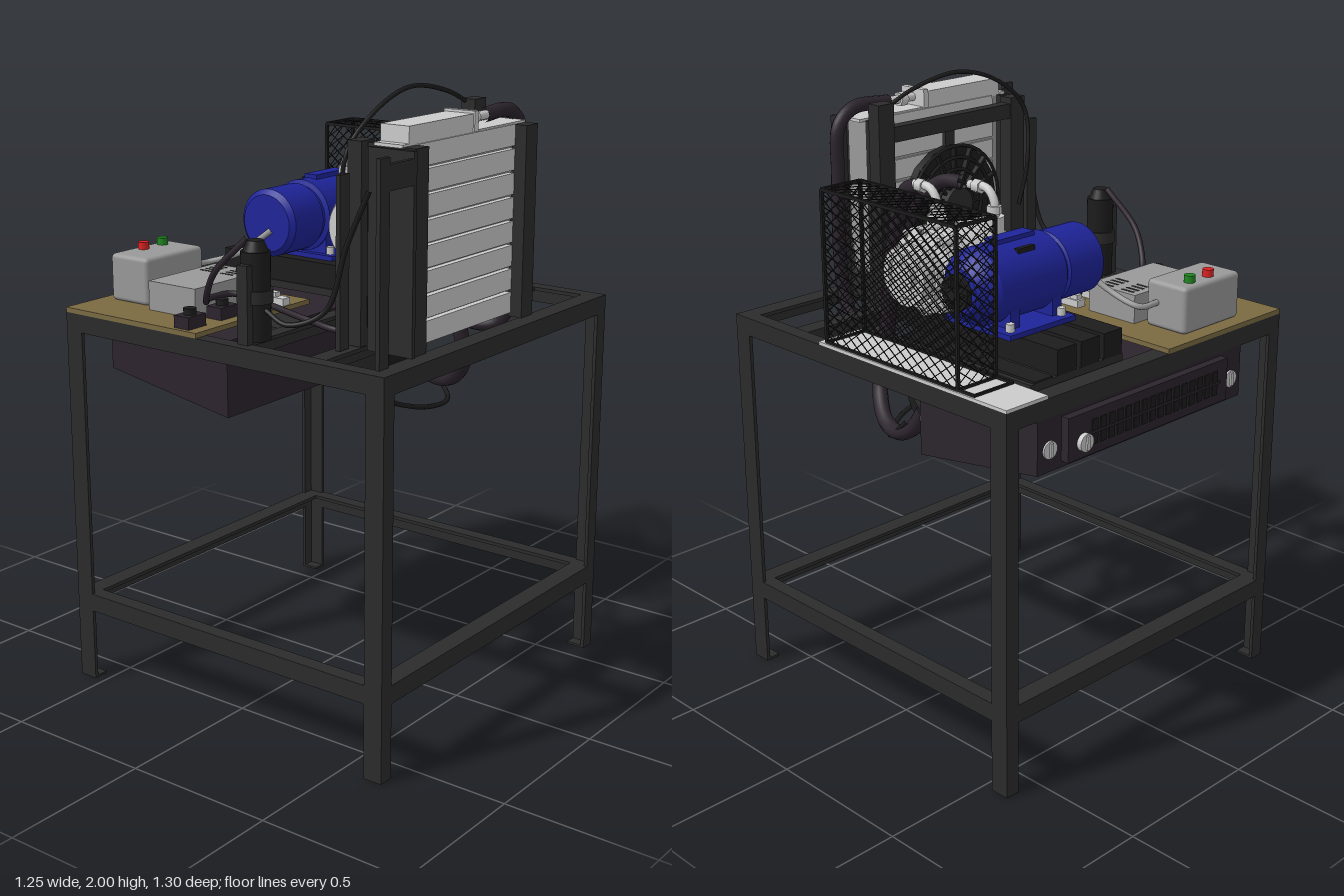
import * as THREE from 'three';
import { mergeGeometries } from 'three/addons/utils/BufferGeometryUtils.js';
import { RoundedBoxGeometry } from 'three/addons/geometries/RoundedBoxGeometry.js';

const paint = (color) => new THREE.MeshStandardMaterial({ color });
const iron = paint(0x2b2b2b), black = paint(0x1c1c1c), plum = paint(0x2c242d), blue = paint(0x1e2499);
const grey = paint(0xcccccc), boxGrey = paint(0x999999), wood = paint(0x7a6a42);
const red = paint(0xdd2222), green = paint(0x228822);

export function createModel() {
  const root = new THREE.Group();
  let target = root;
  const group = (name) => { target = new THREE.Group(); target.name = name; root.add(target); };
  const add = (name, mat, geo) => {
    const m = new THREE.Mesh(geo, mat);
    m.name = name;
    target.add(m);
    return m;
  };
  const boxGeo = (x0, x1, y0, y1, z0, z1) =>
    new THREE.BoxGeometry(x1 - x0, y1 - y0, z1 - z0).translate((x0 + x1) / 2, (y0 + y1) / 2, (z0 + z1) / 2);
  const box = (name, mat, ...b) => add(name, mat, boxGeo(...b));
  // cylinder along an axis, centred at x, y, z
  const cyl = (name, mat, axis, r, len, x, y, z, r2 = r, sides = 28) => {
    const g = new THREE.CylinderGeometry(r2, r, len, sides);
    if (axis === 'x') g.rotateZ(-Math.PI / 2);
    if (axis === 'z') g.rotateX(Math.PI / 2);
    return add(name, mat, g.translate(x, y, z));
  };
  const tube = (name, mat, r, pts) => {
    const c = new THREE.CatmullRomCurve3(pts.map((p) => new THREE.Vector3(...p)), false, 'centripetal');
    return add(name, mat, new THREE.TubeGeometry(c, pts.length * 9, r, 10));
  };
  // profile of [radius, x] turned round an axis parallel to x
  const latheX = (name, mat, pts, y, z) => {
    const parts = pts.slice(1).map((p, i) => new THREE.LatheGeometry(
      [new THREE.Vector2(...pts[i]), new THREE.Vector2(...p)], 36));
    return add(name, mat, mergeGeometries(parts).rotateZ(-Math.PI / 2).translate(0, y, z));
  };

  // angle iron table frame
  group('tableFrame');
  const X0 = -0.63, X1 = 0.625, Z0 = -0.6, Z1 = 0.65, t = 0.012;
  for (const [x, sx] of [[X0, 1], [X1, -1]]) for (const [z, sz] of [[Z0, 1], [Z1, -1]]) {
    const span = (a, b) => [Math.min(a, b), Math.max(a, b)];
    box('leg', iron, ...span(x, x + sx * t), 0, 1.25, ...span(z, z + sz * 0.065));
    box('leg', iron, ...span(x, x + sx * 0.05), 0, 1.25, ...span(z, z + sz * t));
    box('footPad', iron, ...span(x, x + sx * 0.05), 0, 0.008, ...span(z, z + sz * 0.065));
  }
  for (const [y0, y1] of [[0.245, 0.305], [1.2, 1.26]]) {
    for (const [a, b, c, d] of [[X0, X0 + t, X0, X0 + 0.05], [X1 - t, X1, X1 - 0.05, X1]]) {
      box('sideRail', iron, a, b, y0, y1, Z0, Z1);
      box('sideRailFlange', iron, c, d, y1 - t, y1, Z0, Z1);
    }
    for (const [a, b, c, d] of [[Z0, Z0 + t, Z0, Z0 + 0.065], [Z1 - t, Z1, Z1 - 0.065, Z1]]) {
      box('endRail', iron, X0, X1, y0, y1, a, b);
      box('endRailFlange', iron, X0, X1, y1 - t, y1, c, d);
    }
  }
  for (const [a, b] of [[0.345, 0.405], [0.06, 0.11]]) {
    box('crossRail', iron, X0, X1, 1.2, 1.258, a, a + t);
    box('crossRailFlange', iron, X0, X1, 1.246, 1.258, a, b);
  }
  box('boardSupport', iron, -0.35, -0.185, 1.235, 1.25, -0.5, 0.07);
  box('woodBoard', wood, X0, -0.075, 1.26, 1.276, Z0, -0.05);
  box('guardPlate', grey, 0.455, X1, 1.26, 1.27, Z0, 0.225);

  // evaporator slung under the back
  group('evaporator');
  const side = new THREE.Shape([[0.6, 1.2], [0.6, 1.03], [0.1, 0.95], [0.1, 1.2]].map((p) => new THREE.Vector2(...p)));
  add('evaporatorCase', plum, new THREE.ExtrudeGeometry(side, { depth: 0.93, bevelEnabled: false })
    .rotateY(Math.PI / 2).translate(-0.43, 0, 0));
  box('evaporatorFace', plum, -0.33, 0.4, 1.05, 1.19, -0.628, -0.6);
  for (let i = 0; i < 16; i++) box('louvre', black, -0.28 + i * 0.037, -0.255 + i * 0.037, 1.08, 1.16, -0.631, -0.627);
  box('louvreBar', plum, -0.29, 0.31, 1.116, 1.124, -0.634, -0.627);
  for (const [x, z] of [[-0.38, -0.612], [0.335, -0.65], [0.45, -0.612]]) {
    cyl('knob', grey, 'z', 0.028, 0.02, x, 1.1, z + 0.016);
    box('knobGrip', grey, x - 0.006, x + 0.006, 1.078, 1.122, z, z + 0.016);
  }
  cyl('blower', black, 'x', 0.11, 0.22, 0.26, 1.085, 0);
  cyl('blowerCap', iron, 'x', 0.05, 0.03, 0.38, 1.085, 0);
  cyl('outletFitting', grey, 'x', 0.018, 0.07, 0.4, 1.12, -0.03);
  cyl('outletFitting', grey, 'y', 0.014, 0.12, 0.42, 1.08, -0.03);

  // stand and electric motor
  group('motor');
  box('standPlate', iron, 0.06, 0.455, 1.255, 1.28, -0.53, 0.06);
  for (let i = 0; i < 3; i++) box('standBeam', black, 0.065 + i * 0.1, 0.145 + i * 0.1, 1.28, 1.362, -0.53, 0.13);
  box('standRib', black, 0.365, 0.44, 1.28, 1.287, -0.53, 0.05);
  latheX('motorBody', blue, [[0, -0.06], [0.095, -0.06], [0.112, -0.045], [0.112, 0.1], [0.103, 0.105],
    [0.103, 0.12], [0.12, 0.125], [0.12, 0.4], [0.105, 0.425], [0.07, 0.46], [0, 0.46]], 1.5, -0.24);
  box('motorFoot', blue, 0.11, 0.39, 1.362, 1.378, -0.38, -0.1);
  for (const x of [0.15, 0.33]) box('motorLeg', blue, x - 0.02, x + 0.02, 1.37, 1.45, -0.34, -0.14);
  box('terminalCover', blue, 0.17, 0.33, 1.6, 1.632, -0.262, -0.212);
  box('motorSlot', black, 0.22, 0.29, 1.59, 1.609, -0.314, -0.298);
  for (const x of [0.14, 0.36]) for (const z of [-0.35, -0.13])
    cyl('footBolt', grey, 'y', 0.014, 0.03, x, 1.388, z, 0.014, 6);
  cyl('motorShaft', black, 'x', 0.02, 0.06, 0.47, 1.5, -0.24);
  cyl('motorPulley', black, 'x', 0.055, 0.018, 0.473, 1.5, -0.24);
  for (let i = 0; i < 8; i++)
    add('pulleyBlade', black, boxGeo(0.475, 0.5, 0.015, 0.045, -0.004, 0.004).rotateX(i * Math.PI / 4).translate(0, 1.5, -0.24));

  // compressor
  group('compressor');
  const cy = 1.485, cz = 0.02;
  latheX('compressorBody', grey, [[0, 0.08], [0.11, 0.08], [0.118, 0.09], [0.118, 0.19], [0.124, 0.19], [0.124, 0.29],
    [0.134, 0.295], [0.134, 0.32], [0.125, 0.325], [0.125, 0.34], [0.134, 0.345], [0.134, 0.365], [0.1, 0.375],
    [0.1, 0.4], [0.09, 0.4], [0.09, 0.415], [0.093, 0.415], [0.093, 0.45], [0.07, 0.45], [0.07, 0.438], [0.045, 0.438],
    [0.045, 0.458], [0, 0.458]], cy, cz);
  for (let i = 0; i < 10; i++) {
    const a = (i / 10) * Math.PI * 2, y = cy + Math.cos(a) * 0.126, z = cz + Math.sin(a) * 0.126;
    cyl('flangeLug', grey, 'x', 0.018, 0.08, 0.33, y, z, 0.018, 12);
    cyl('flangeBolt', boxGrey, 'x', 0.009, 0.1, 0.33, y, z, 0.009, 6);
  }
  box('compressorMount', iron, 0.12, 0.33, 1.355, 1.385, 0.07, 0.14);
  for (const [x, z] of [[0.17, -0.09], [0.29, 0.04]]) {
    cyl('portBase', grey, 'y', 0.032, 0.07, x, 1.61, z);
    tube('portPipe', grey, 0.014, [[x, 1.6, z], [x, 1.69, z], [x, 1.725, z + 0.03], [x, 1.725, z + 0.11]]);
    cyl('portNut', grey, 'y', 0.024, 0.025, x, 1.665, z, 0.024, 6);
    cyl('portCollar', grey, 'z', 0.022, 0.03, x, 1.725, z + 0.07, 0.022, 6);
  }

  // wire mesh belt guard
  group('beltGuard');
  const G = { x: [0.463, 0.615], y: [1.272, 1.757], z: [-0.393, 0.195] }, wires = [];
  const rod = (a, b, w) => {
    const d = new THREE.Vector3().subVectors(b, a);
    const g = new THREE.BoxGeometry(w, w, d.length());
    g.applyQuaternion(new THREE.Quaternion().setFromUnitVectors(new THREE.Vector3(0, 0, 1), d.clone().normalize()));
    wires.push(g.translate((a.x + b.x) / 2, (a.y + b.y) / 2, (a.z + b.z) / 2));
  };
  const at = (u, a, v, b, w, c) => new THREE.Vector3()
    .setComponent('xyz'.indexOf(u), a).setComponent('xyz'.indexOf(v), b).setComponent('xyz'.indexOf(w), c);
  // slanted lines clipped to each face give the diamonds
  const lattice = (u, v, w, c, k) => {
    const [u0, u1] = G[u], [v0, v1] = G[v], W = u1 - u0, H = v1 - v0;
    for (let s = -H / k + 0.02; s < W; s += 0.05) {
      const a = Math.max(s, 0), b = Math.min(s + H / k, W);
      const p = (a - s) * k, q = (b - s) * k;
      if (b - a < 0.004) continue;
      rod(at(u, u0 + a, v, v0 + p, w, c), at(u, u0 + b, v, v0 + q, w, c), 0.0025);
      rod(at(u, u0 + a, v, v1 - p, w, c), at(u, u0 + b, v, v1 - q, w, c), 0.0025);
    }
  };
  for (const i of [0, 1]) {
    lattice('z', 'y', 'x', G.x[i], 0.75);
    lattice('x', 'y', 'z', G.z[i], 0.75);
  }
  lattice('x', 'z', 'y', G.y[1], 0.8);
  for (const [u, v, w] of ['xyz', 'yzx', 'zxy']) for (const b of G[v]) for (const c of G[w])
    rod(at(u, G[u][0], v, b, w, c), at(u, G[u][1], v, b, w, c), 0.01);
  add('guardMesh', black, mergeGeometries(wires));
  for (const x of G.x) box('guardRunner', black, x - 0.004, x + 0.004, 1.268, 1.278, -0.465, -0.39);
  box('guardRunnerEnd', black, G.x[0], G.x[1], 1.268, 1.278, -0.465, -0.457);

  // condenser with slatted front and rear fan
  group('condenser');
  for (const x of [-0.41, 0.18]) {
    box('condenserPost', iron, x, x + 0.065, 1.26, 1.865, 0.545, 0.595);
    box('condenserWeb', iron, x + 0.025, x + 0.04, 1.26, 1.865, 0.41, 0.56);
    box('rearPost', iron, x, x + 0.065, 1.26, x > 0 ? 1.93 : 1.87, 0.355, 0.405);
  }
  box('condenserCore', boxGrey, -0.385, 0.22, 1.27, 1.865, 0.45, 0.535);
  box('condenserTop', grey, -0.41, 0.245, 1.862, 1.872, 0.45, 0.55);
  for (let i = 0; i < 8; i++) box('condenserSlat', grey, -0.345, 0.18, 1.272 + i * 0.0755, 1.338 + i * 0.0755, 0.445, 0.555);
  box('fanBeam', iron, -0.41, 0.24, 1.8, 1.85, 0.36, 0.4);
  box('fanFoot', iron, -0.12, -0.04, 1.255, 1.36, 0.375, 0.39);
  box('fanHanger', iron, -0.1, -0.06, 1.73, 1.81, 0.375, 0.39);
  box('headerTank', grey, -0.38, -0.04, 1.87, 1.922, 0.45, 0.55);
  box('headerFlange', grey, -0.05, -0.03, 1.868, 1.93, 0.445, 0.555);
  cyl('headerFitting', grey, 'x', 0.014, 0.13, 0.03, 1.9, 0.5);
  cyl('headerNut', grey, 'x', 0.024, 0.03, 0.02, 1.9, 0.5, 0.024, 6);
  cyl('fanDisc', black, 'z', 0.2, 0.03, -0.08, 1.55, 0.38, 0.2, 16);
  cyl('fanHub', iron, 'z', 0.06, 0.04, -0.08, 1.55, 0.35);
  for (const r of [0.08, 0.12, 0.16, 0.2])
    add('fanRing', black, new THREE.TorusGeometry(r, 0.006, 6, 32).translate(-0.08, 1.55, 0.352));
  for (let i = 0; i < 16; i++)
    add('fanSpoke', black, boxGeo(-0.005, 0.005, 0.05, 0.2, 0.347, 0.37).rotateZ(i * Math.PI / 8).translate(-0.08, 1.55, 0));
  box('bracketPost', iron, -0.585, -0.54, 1.26, 1.86, 0.585, 0.6);
  box('bracketArm', iron, -0.585, -0.41, 1.765, 1.84, 0.585, 0.6);
  box('bracketStrap', iron, -0.425, -0.41, 1.26, 1.86, 0.44, 0.6);
  box('bracketStay', iron, -0.485, -0.44, 1.26, 1.78, 0.37, 0.385);

  // controls on the board
  group('controls');
  add('switchBox', boxGrey, new RoundedBoxGeometry(0.27, 0.154, 0.16, 3, 0.015).translate(-0.335, 1.353, -0.475));
  cyl('stopButton', red, 'y', 0.018, 0.025, -0.355, 1.441, -0.515);
  cyl('startButton', green, 'y', 0.018, 0.025, -0.265, 1.441, -0.515);
  box('relayBox', boxGrey, -0.495, -0.18, 1.276, 1.37, -0.365, -0.17);
  for (const z of [-0.315, -0.228]) for (let i = 0; i < 4; i++)
    box('ventSlot', iron, -0.28 + i * 0.024, -0.27 + i * 0.024, 1.365, 1.371, z - 0.025, z + 0.025);
  for (const x of [-0.575, -0.425]) {
    box('pressureSwitch', plum, x - 0.04, x + 0.04, 1.276, 1.315, -0.15, -0.09);
    cyl('switchCap', black, 'y', 0.02, 0.03, x, 1.32, -0.12);
  }
  for (const x of [-0.288, -0.187]) {
    box('terminal', grey, x - 0.018, x + 0.018, 1.276, 1.3, -0.13, -0.055);
    box('terminalTop', grey, x - 0.012, x + 0.012, 1.3, 1.315, -0.12, -0.09);
  }
  cyl('receiver', black, 'y', 0.045, 0.27, -0.535, 1.4, 0.11);
  cyl('receiverCap', black, 'y', 0.04, 0.035, -0.535, 1.55, 0.11, 0.025);
  cyl('receiverClamp', iron, 'y', 0.052, 0.04, -0.535, 1.4, 0.11);
  box('receiverStrap', iron, -0.6, -0.57, 1.255, 1.5, 0.09, 0.13);

  // hoses and cables
  group('hoses');
  tube('dischargeHose', plum, 0.023, [[0.08, 1.9, 0.5], [0.23, 1.9, 0.5], [0.29, 1.85, 0.5], [0.3, 1.7, 0.5], [0.3, 1.3, 0.49],
    [0.3, 1.2, 0.43], [0.27, 1.2, 0.335], [0.24, 1.4, 0.31], [0.2, 1.62, 0.24], [0.17, 1.71, 0.15], [0.17, 1.725, 0.05]]);
  tube('suctionHose', plum, 0.026, [[0.29, 1.725, 0.12], [0.285, 1.69, 0.19], [0.285, 1.5, 0.25], [0.295, 1.2, 0.285],
    [0.335, 1.03, 0.28], [0.385, 0.95, 0.2], [0.405, 0.935, 0.12], [0.41, 0.97, 0.04], [0.41, 1.05, -0.02]]);
  tube('motorCable', boxGrey, 0.01, [[-0.2, 1.36, -0.44], [-0.13, 1.36, -0.43], [-0.1, 1.4, -0.32], [-0.06, 1.48, -0.22]]);
  tube('fanCable', black, 0.007, [[-0.37, 1.5, 0.34], [-0.39, 1.65, 0.32], [-0.4, 1.83, 0.345], [-0.3, 1.93, 0.36],
    [-0.1, 1.992, 0.355], [0.1, 1.96, 0.36], [0.21, 1.91, 0.37]]);
  tube('liquidLine', black, 0.008, [[-0.4, 1.29, 0.34], [-0.24, 1.27, 0.33], [-0.18, 1.05, 0.32], [0, 0.96, 0.31],
    [0.25, 0.91, 0.27], [0.4, 0.91, 0.16], [0.43, 1, 0.04]]);
  tube('pressureLine', plum, 0.01, [[-0.535, 1.57, 0.08], [-0.55, 1.45, -0.04], [-0.5, 1.34, -0.12], [-0.42, 1.33, -0.17],
    [-0.34, 1.33, -0.15], [-0.34, 1.32, -0.03], [-0.4, 1.31, 0.2], [-0.41, 1.3, 0.34], [-0.1, 1.28, 0.345], [0.19, 1.27, 0.35]]);
  tube('receiverLine', black, 0.008, [[-0.54, 1.36, 0.15], [-0.548, 1.33, 0.24], [-0.51, 1.38, 0.35], [-0.5, 1.58, 0.42], [-0.5, 1.75, 0.5]]);
  return root;
}
